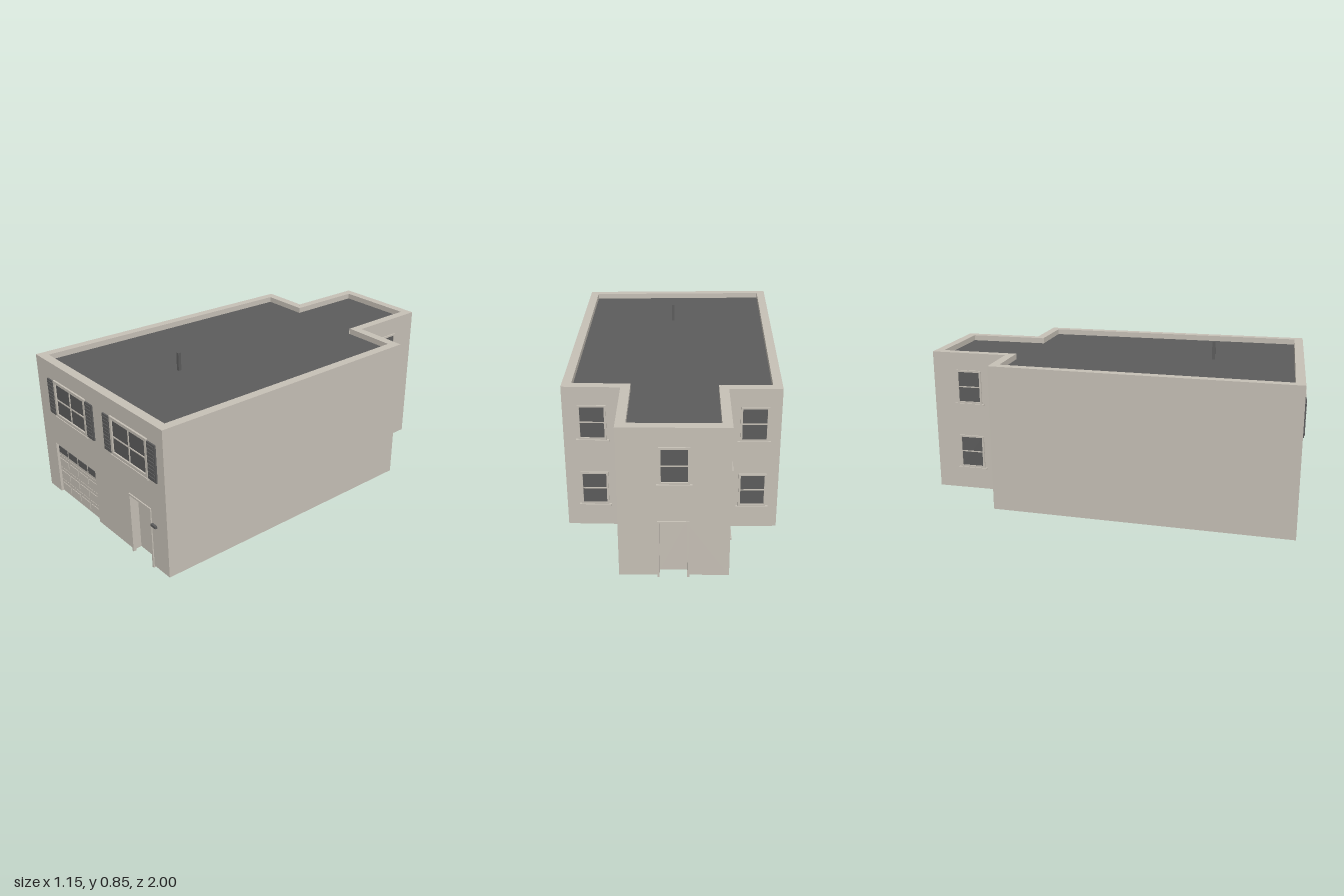
import * as THREE from 'three';

const wallMat = new THREE.MeshStandardMaterial({ color: 0xc6c0b6, side: THREE.DoubleSide });
wallMat.name = 'warm stone';
const darkMat = new THREE.MeshStandardMaterial({ color: 0x5c5c5c, side: THREE.DoubleSide });
darkMat.name = 'charcoal';

const BASE = 0.01, TOP = 0.785, DEPTH = 0.047;

// Outer and inner corners of the walls as [x, z], starting at the front
const outer = [[-0.58, 0.985], [0.532, 0.985], [0.574, -0.534], [0.286, -0.548],
  [0.296, -0.976], [-0.222, -0.992], [-0.235, -0.577], [-0.495, -0.582]];
const inner = [[-0.534, 0.937], [0.487, 0.937], [0.526, -0.492], [0.238, -0.5],
  [0.249, -0.937], [-0.177, -0.95], [-0.19, -0.529], [-0.452, -0.537]];

function add(parent, name, geometry, material) {
  const mesh = new THREE.Mesh(geometry, material);
  mesh.name = name;
  parent.add(mesh);
  return mesh;
}

// Box given by its limits in the frame of a wall: u along, y up, z outward
function box(parent, name, u0, u1, y0, y1, z0, z1, material = wallMat) {
  const mesh = add(parent, name, new THREE.BoxGeometry(u1 - u0, y1 - y0, z1 - z0), material);
  mesh.position.set((u0 + u1) / 2, (y0 + y1) / 2, (z0 + z1) / 2);
  return mesh;
}

// Rectangular surround; open at the bottom for doors
function surround(parent, name, u0, u1, y0, y1, t, z0, z1, open = false) {
  box(parent, name, u0, u0 + t, y0, y1, z0, z1);
  box(parent, name, u1 - t, u1, y0, y1, z0, z1);
  box(parent, name, u0 + t, u1 - t, y1 - t, y1, z0, z1);
  if (!open) box(parent, name, u0 + t, u1 - t, y0, y0 + t, z0, z1);
}

// Sash window with a sill
function sashWindow(wall, c, y0) {
  const g = new THREE.Group();
  g.name = 'sashWindow';
  wall.add(g);
  const y1 = y0 + 0.185, h = 0.07, mid = (y0 + y1) / 2;
  box(g, 'glass', c - h + 0.008, c + h - 0.008, y0 + 0.008, y1 - 0.008, -0.002, 0.002, darkMat);
  surround(g, 'windowFrame', c - h, c + h, y0, y1, 0.01, -0.002, 0.008);
  box(g, 'meetingRail', c - h + 0.01, c + h - 0.01, mid - 0.003, mid + 0.003, 0, 0.005);
  box(g, 'sill', c - h - 0.012, c + h + 0.012, y0 - 0.009, y0, -0.002, 0.014);
}

// Wide four-pane window with shutters
function frontWindow(wall, c) {
  const g = new THREE.Group();
  g.name = 'frontWindow';
  wall.add(g);
  const h = 0.15, y0 = 0.497, y1 = 0.699;
  box(g, 'glass', c - h + 0.01, c + h - 0.01, y0 + 0.008, y1 - 0.01, -0.002, 0.002, darkMat);
  surround(g, 'windowFrame', c - h, c + h, y0, y1, 0.015, -0.002, 0.01);
  box(g, 'muntin', c - 0.003, c + 0.003, y0 + 0.012, y1 - 0.015, 0, 0.006);
  box(g, 'muntin', c - h + 0.015, c + h - 0.015, 0.59, 0.596, 0, 0.006);
  box(g, 'sill', c - h - 0.004, c + h + 0.004, 0.488, y0, -0.002, 0.014);
  for (const s of [-1, 1]) {
    const m = c + s * 0.182;
    box(g, 'shutter', m - 0.031, m + 0.031, 0.498, 0.69, -0.001, 0.008, darkMat);
    for (let i = 0; i < 9; i++) {
      const y = 0.508 + i * 0.02;
      box(g, 'shutterSlat', m - 0.024, m + 0.024, y, y + 0.012, 0.008, 0.012, darkMat);
    }
  }
}

// Recessed door; the opening is cut in the wall
function door(wall, { u0, u1, y1 }) {
  const g = new THREE.Group();
  g.name = 'door';
  wall.add(g);
  box(g, 'doorLeaf', u0, u1, BASE, y1, -DEPTH, -0.04);
  surround(g, 'doorFrame', u0 - 0.01, u1 + 0.01, 0, y1 + 0.01, 0.01, -0.01, 0.006, true);
}

// Sectional garage door with a row of lights
function garageDoor(wall, { u0, u1, y1 }) {
  const g = new THREE.Group();
  g.name = 'garageDoor';
  wall.add(g);
  const rows = 4, rowH = (y1 - BASE) / rows, colW = (u1 - u0) / 4;
  box(g, 'garageBacking', u0, u1, BASE, y1, -0.03, -0.018);
  for (let r = 0; r < rows; r++) {
    const y = BASE + r * rowH;
    box(g, 'garageSection', u0, u1, y + 0.001, y + rowH - 0.001, -0.02, -0.014);
    for (let c = 0; c < 4; c++) {
      const u = u0 + c * colW, light = r === rows - 1;
      box(g, light ? 'garageLight' : 'garagePanel', u + 0.007, u + colW - 0.007,
        y + 0.02, y + rowH - 0.018, -0.014, -0.011, light ? darkMat : wallMat);
    }
  }
}

// One mitred wall with door openings cut from its lower edge
function makeWall(i, openings) {
  const j = (i + 1) % outer.length;
  const a = new THREE.Vector2(...outer[i]), b = new THREE.Vector2(...outer[j]);
  const dir = b.clone().sub(a), len = dir.length();
  dir.normalize();
  const along = (p) => (p[0] - a.x) * dir.x + (p[1] - a.y) * dir.y;
  const wall = new THREE.Group();
  wall.name = 'wallSide';
  wall.position.set(a.x, 0, a.y);
  wall.rotation.y = Math.atan2(-dir.y, dir.x);

  const s = new THREE.Shape();
  s.moveTo(0, BASE);
  const cuts = openings.map((o) => {
    const c = along(o.at);
    return { ...o, u0: c - o.w / 2, u1: c + o.w / 2 };
  });
  for (const o of cuts) {
    s.lineTo(o.u0, BASE);
    s.lineTo(o.u0, o.y1);
    s.lineTo(o.u1, o.y1);
    s.lineTo(o.u1, BASE);
  }
  s.lineTo(len, BASE);
  s.lineTo(len, TOP);
  s.lineTo(0, TOP);
  const geo = new THREE.ExtrudeGeometry(s, { depth: DEPTH, bevelEnabled: false });
  geo.translate(0, 0, -DEPTH);
  const p = geo.attributes.position;
  for (let k = 0; k < p.count; k++) {
    if (p.getZ(k) > -DEPTH / 2) continue;
    if (p.getX(k) < 1e-4) p.setX(k, along(inner[i]));
    else if (p.getX(k) > len - 1e-4) p.setX(k, along(inner[j]));
  }
  geo.computeVertexNormals();
  add(wall, 'wall', geo, wallMat);
  for (const o of cuts) (o.garage ? garageDoor : door)(wall, o);
  return { wall, along };
}

export function createModel() {
  const model = new THREE.Group();
  model.name = 'house';

  // Door openings and sash windows of each wall
  const openings = {
    0: [{ at: [-0.274, 0.985], w: 0.392, y1: 0.31, garage: true }, { at: [0.321, 0.985], w: 0.16, y1: 0.322 }],
    3: [{ at: [0.29, -0.76], w: 0.12, y1: 0.298 }],
    4: [{ at: [0.04, -0.984], w: 0.13, y1: 0.298 }],
  };
  const sashes = {
    2: [[0.43, -0.541], 0.505, 0.135],
    3: [[0.29, -0.76], 0.505],
    4: [[0.035, -0.984], 0.505],
    5: [[-0.23, -0.79], 0.505, 0.135],
    6: [[-0.365, -0.58], 0.505, 0.135],
  };
  for (let i = 0; i < outer.length; i++) {
    const { wall, along } = makeWall(i, openings[i] || []);
    model.add(wall);
    const [at, ...heights] = sashes[i] || [];
    for (const y of heights) sashWindow(wall, along(at), y);
    if (i === 0) {
      for (const x of [-0.257, 0.265]) frontWindow(wall, along([x, 0.985]));
      const m = along([0.434, 0.985]);
      box(wall, 'letterBox', m - 0.018, m + 0.018, 0.243, 0.256, 0, 0.012, darkMat);
    }
  }

  // Flat roof sunk behind the parapet
  const roof = new THREE.Shape(inner.map(([x, z]) => new THREE.Vector2(x, -z)));
  add(model, 'roof', new THREE.ShapeGeometry(roof).rotateX(-Math.PI / 2), darkMat).position.y = 0.755;

  // Vent pipe
  box(model, 'ventPipe', 0.007, 0.023, 0.75, 0.85, 0.502, 0.518, darkMat);
  return model;
}
